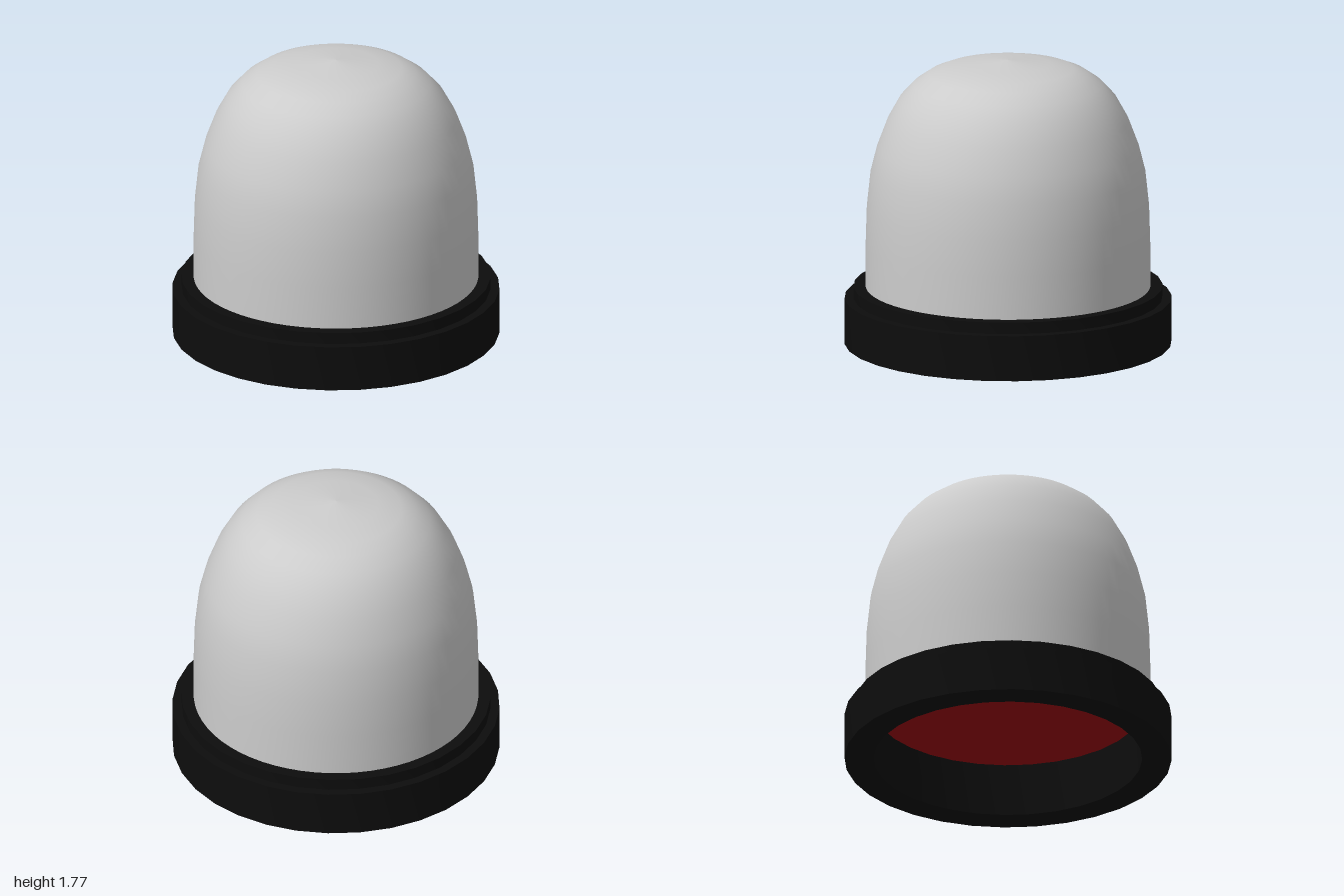
import * as THREE from 'three';
import { toCreasedNormals } from 'three/addons/utils/BufferGeometryUtils.js';

const points = (list) => list.map(([r, y]) => new THREE.Vector2(r, y));

function addPart(group, name, geometry, color) {
  const mesh = new THREE.Mesh(geometry, new THREE.MeshStandardMaterial({ color }));
  mesh.name = name;
  group.add(mesh);
  return mesh;
}

export function createModel() {
  const group = new THREE.Group();
  group.name = 'beaconLamp';

  // Stepped, hollow base ring
  const ring = new THREE.LatheGeometry(points([
    [0.82, 0], [1, 0], [1, 0.283], [0.945, 0.283],
    [0.945, 0.355], [0.82, 0.355], [0.82, 0],
  ]), 32);
  addPart(group, 'baseRing', toCreasedNormals(ring, Math.PI / 6), 0x0d0d0d);

  // Smooth lamp cover, sides to crown
  const dome = new THREE.LatheGeometry(points([
    [0.87, 0.34], [0.87, 0.62], [0.863, 0.85], [0.84, 1.07], [0.8, 1.23],
    [0.738, 1.395], [0.663, 1.53], [0.577, 1.623], [0.487, 1.685],
    [0.4, 1.72], [0.257, 1.75], [0, 1.775],
  ]), 64);
  addPart(group, 'dome', dome, 0xcccccc);

  // Flat plate closing the underside of the lamp
  const plate = addPart(group, 'bottomPlate', new THREE.CircleGeometry(0.83, 32), 0xa00a10);
  plate.rotation.x = Math.PI / 2;
  plate.position.y = 0.335;

  return group;
}
